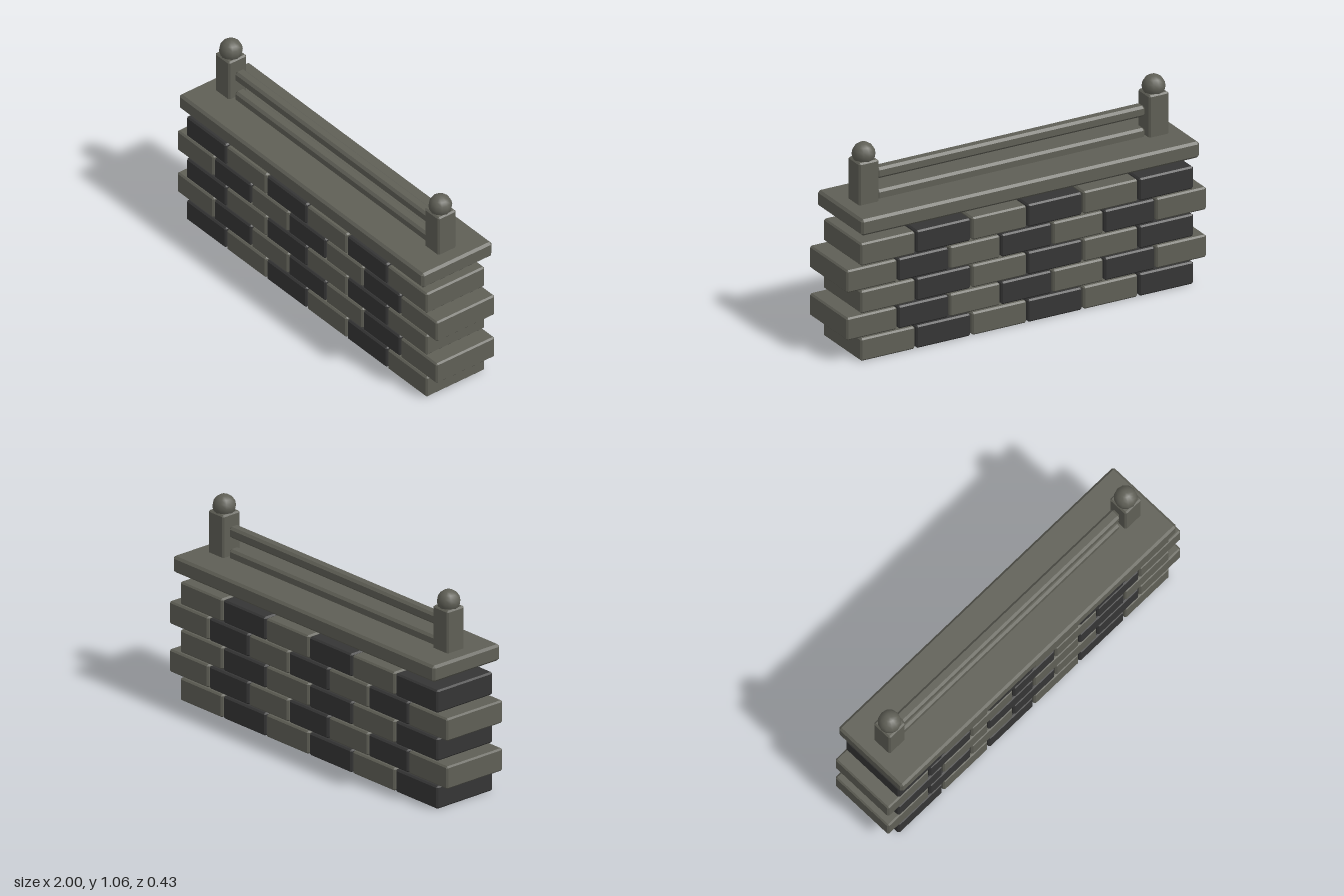
import * as THREE from 'three';
import { ConvexGeometry } from 'three/addons/geometries/ConvexGeometry.js';

const stone = new THREE.MeshStandardMaterial({ name: 'greyStone', color: 0x5f5f56 });
const darkStone = new THREE.MeshStandardMaterial({ name: 'darkStone', color: 0x353535 });

// Box with every edge and corner chamfered by b
function chamferBox(w, h, d, b) {
  const points = [];
  for (const sx of [-1, 1]) for (const sy of [-1, 1]) for (const sz of [-1, 1]) {
    for (let axis = 0; axis < 3; axis++) {
      const inset = [b, b, b];
      inset[axis] = 0;
      points.push(new THREE.Vector3(
        sx * (w / 2 - inset[0]), sy * (h / 2 - inset[1]), sz * (d / 2 - inset[2])));
    }
  }
  return new ConvexGeometry(points);
}

export function createModel() {
  const model = new THREE.Group();
  model.name = 'stoneWall';

  function add(parent, name, geometry, material, x, y, z = 0) {
    const mesh = new THREE.Mesh(geometry, material);
    mesh.name = name;
    mesh.position.set(x, y, z);
    parent.add(mesh);
    return mesh;
  }

  // Five courses: six long bricks alternate with seven short ones
  const longBrick = chamferBox(0.302, 0.118, 0.36, 0.008);
  const shortBrick = chamferBox(0.279, 0.118, 0.36, 0.008);
  for (let row = 0; row < 5; row++) {
    const course = new THREE.Group();
    course.name = 'brickCourse' + (row + 1);
    model.add(course);
    const odd = row % 2 === 1;
    const count = odd ? 7 : 6;
    const pitch = odd ? 0.287 : 0.31;
    const centre = odd ? 0 : -0.003;
    for (let i = 0; i < count; i++) {
      const dark = (i % 2 === 1) === odd;
      add(course, 'brick', odd ? shortBrick : longBrick, dark ? darkStone : stone,
        centre + (i - (count - 1) / 2) * pitch, 0.059 + row * 0.1248);
    }
  }

  // Coping slab, raised clear of the bricks
  add(model, 'copingSlab', chamferBox(1.882, 0.085, 0.432, 0.012), stone, -0.003, 0.7145);

  // End posts with ball finials
  const post = chamferBox(0.11, 0.25, 0.11, 0.008);
  const ball = new THREE.SphereGeometry(0.058, 12, 8);
  for (const side of [-1, 1]) {
    const x = side * 0.807 - 0.003;
    add(model, 'post', post, stone, x, 0.851);
    add(model, 'ballFinial', ball, stone, x, 1.001);
  }

  // Two rails between the posts, the lower one sunk into the slab
  const rail = chamferBox(1.492, 0.057, 0.058, 0.012);
  for (const y of [0.772, 0.888]) add(model, 'rail', rail, stone, -0.003, y);

  return model;
}
